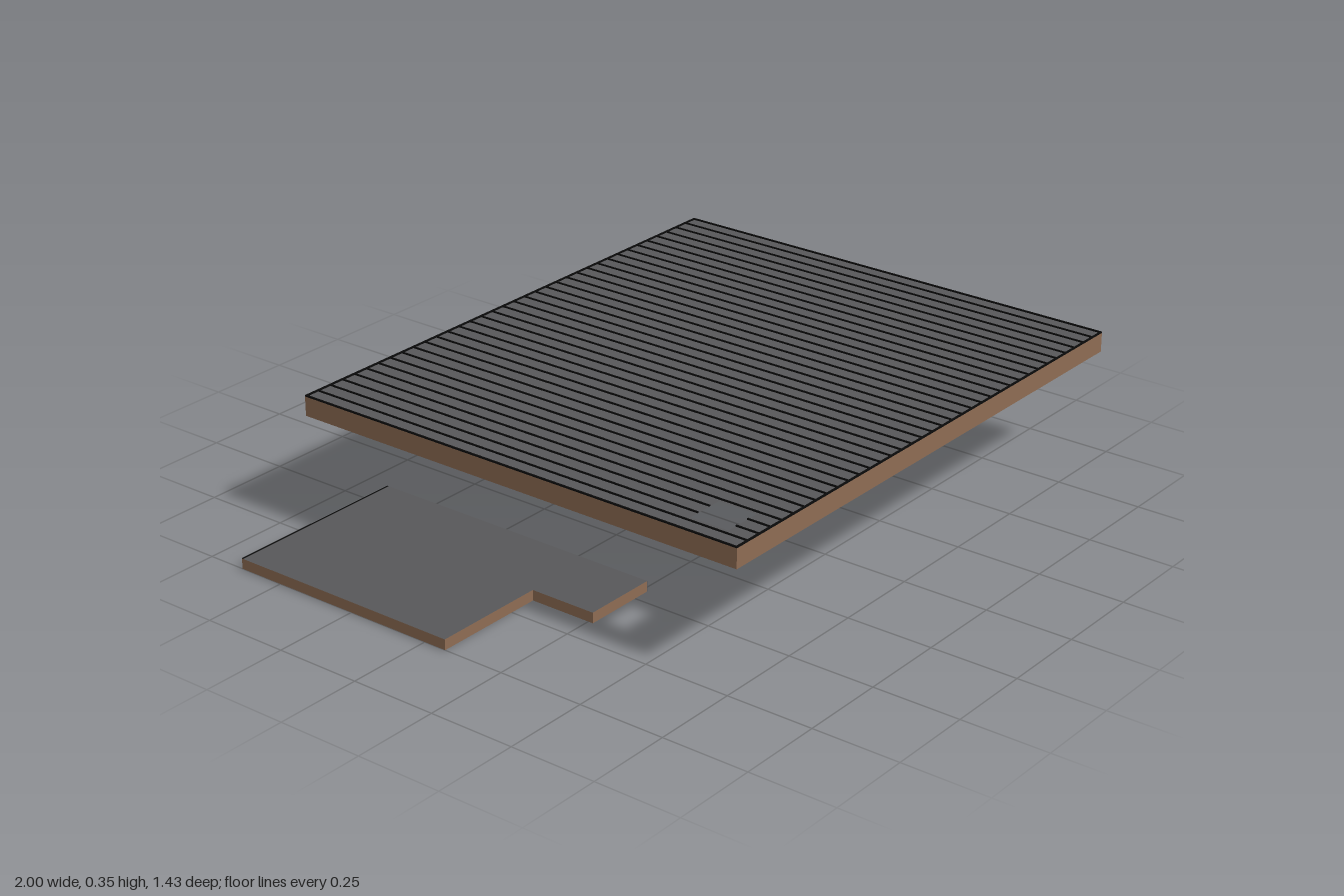
import * as THREE from 'three';

const brown = new THREE.MeshStandardMaterial({ name: 'wood brown', color: 0x8f6d54 });
const grey = new THREE.MeshStandardMaterial({ name: 'slate grey', color: 0x58585a });
const black = new THREE.MeshStandardMaterial({ name: 'seam black', color: 0x0a0a0a });

// main roof extents, and the chimney opening in it
const X0 = -0.668, X1 = 1, Z0 = -0.713, Z1 = 0.713, Y0 = 0.295, Y1 = 0.351;
const HOLE = { x0: -0.605, x1: -0.492, z0: 0.525, z1: 0.64 };

const points = (list) => list.map(([x, z]) => new THREE.Vector2(x, -z));

// flat slab from an outline in x and z: grey faces, brown edges
function slab(name, outline, y, height, hole) {
  const shape = new THREE.Shape(points(outline));
  if (hole) shape.holes.push(new THREE.Path(points(hole)));
  const geometry = new THREE.ExtrudeGeometry(shape, { depth: height, bevelEnabled: false });
  geometry.rotateX(-Math.PI / 2);
  const mesh = new THREE.Mesh(geometry, [grey, brown]);
  mesh.name = name;
  mesh.position.y = y;
  return mesh;
}

// box given by its lower and upper corners
function block(name, material, [x0, y0, z0], [x1, y1, z1]) {
  const mesh = new THREE.Mesh(new THREE.BoxGeometry(x1 - x0, y1 - y0, z1 - z0), material);
  mesh.name = name;
  mesh.position.set((x0 + x1) / 2, (y0 + y1) / 2, (z0 + z1) / 2);
  return mesh;
}

const rectangle = (x0, x1, z0, z1) => [[x0, z0], [x1, z0], [x1, z1], [x0, z1]];

export function createModel() {
  const model = new THREE.Group();
  model.name = 'flatRoofs';

  // main roof with its square opening
  const mainRoof = new THREE.Group();
  mainRoof.name = 'mainRoof';
  mainRoof.add(slab('roofDeck', rectangle(X0, X1, Z0, Z1), Y0, Y1 - Y0,
    rectangle(HOLE.x0, HOLE.x1, HOLE.z0, HOLE.z1)));

  // raised seams, interrupted at the opening
  const bays = 36, half = 0.002, top = Y1 + 0.004;
  for (let i = 1; i < bays; i++) {
    const x = X0 + (X1 - X0) * i / bays;
    const crosses = x > HOLE.x0 && x < HOLE.x1;
    const runs = crosses ? [[Z0, HOLE.z0], [HOLE.z1, Z1]] : [[Z0, Z1]];
    for (const [a, b] of runs) {
      mainRoof.add(block('roofSeam', black, [x - half, Y1, a], [x + half, top, b]));
    }
  }

  // edge trim around the deck
  const t = 0.005;
  mainRoof.add(
    block('frontTrim', black, [X0, Y1, Z1 - t], [X1, top, Z1]),
    block('backTrim', black, [X0, Y1, Z0], [X1, top, Z0 + t]),
    block('leftTrim', black, [X1 - t, Y1, Z0 + t], [X1, top, Z1 - t]),
    block('rightTrim', black, [X0, Y1, Z0 + t], [X0 + t, top, Z1 - t]),
  );
  model.add(mainRoof);

  // lower L-shaped roof, with a bare grey inner edge
  const lowerRoof = new THREE.Group();
  lowerRoof.name = 'lowerRoof';
  const inner = -0.452;
  lowerRoof.add(
    slab('lowerDeck', [[-1, -0.637], [inner, -0.637], [inner, 0.265], [X0, 0.265],
      [X0, 0.068], [-1, 0.068]], 0, 0.03),
    block('innerEdge', grey, [inner, 0, -0.637], [inner + 0.002, 0.03, 0.265]),
    block('lowerBackTrim', black, [-1, 0.03, -0.637], [inner, 0.031, -0.633]),
  );
  model.add(lowerRoof);

  return model;
}
